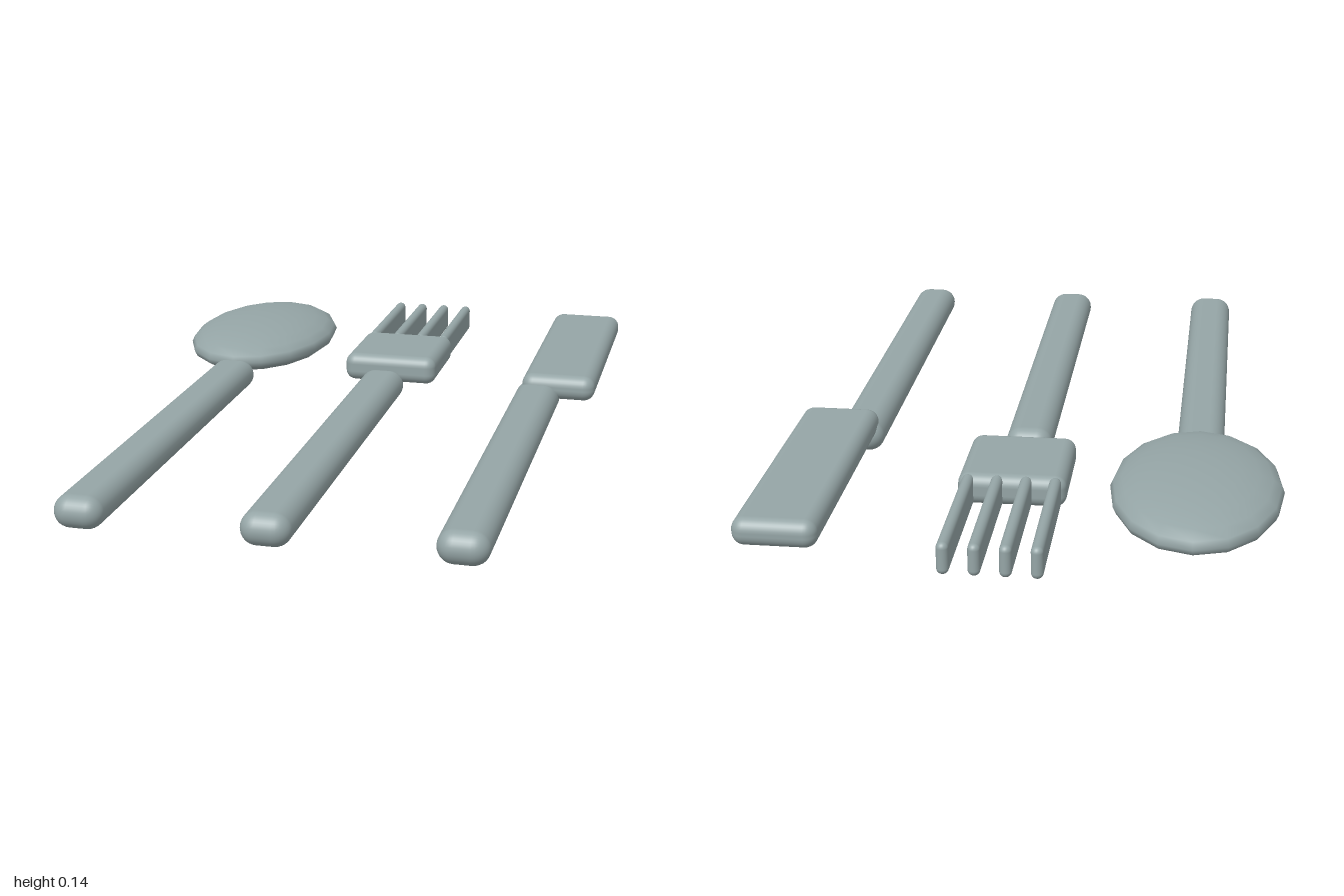
import * as THREE from 'three';
import { RoundedBoxGeometry } from 'three/addons/geometries/RoundedBoxGeometry.js';

const material = new THREE.MeshStandardMaterial({ color: 0x95a5a6 });

// Rounded block given by its [min, max] extents on each axis
function block(name, [x0, x1], [y0, y1], [z0, z1], radius) {
  const geometry = new RoundedBoxGeometry(x1 - x0, y1 - y0, z1 - z0, 4, radius);
  const mesh = new THREE.Mesh(geometry, material);
  mesh.name = name;
  mesh.position.set((x0 + x1) / 2, (y0 + y1) / 2, (z0 + z1) / 2);
  return mesh;
}

function utensil(name, x) {
  const group = new THREE.Group();
  group.name = name;
  group.add(block(name + 'Handle', [x - 0.063, x + 0.063], [0, 0.084], [-0.27, 1], 0.042));
  return group;
}

export function createModel() {
  const model = new THREE.Group();
  model.name = 'cutlerySet';

  // Spoon: flattened ellipsoid bowl
  const spoon = utensil('spoon', -0.437);
  const bowl = new THREE.Mesh(new THREE.SphereGeometry(1, 16, 12), material);
  bowl.name = 'spoonBowl';
  bowl.scale.set(0.218, 0.066, 0.349);
  bowl.position.set(-0.437, 0.077, -0.571);
  spoon.add(bowl);

  // Fork: separate head with four upright, thin tines
  const fork = utensil('fork', 0.027);
  fork.add(block('forkHead', [-0.111, 0.166], [0.02, 0.102], [-0.613, -0.317], 0.03));
  for (let i = 0; i < 4; i++) {
    const x = -0.083 + i * 0.0738;
    fork.add(block('forkTine', [x - 0.015, x + 0.015], [0.02, 0.102], [-1, -0.587], 0.015));
  }

  // Knife: blade offset to one side of the handle and raised
  const knife = utensil('knife', 0.492);
  knife.add(block('knifeBlade', [0.446, 0.656], [0.04, 0.112], [-0.953, -0.193], 0.032));

  model.add(spoon, fork, knife);
  return model;
}
